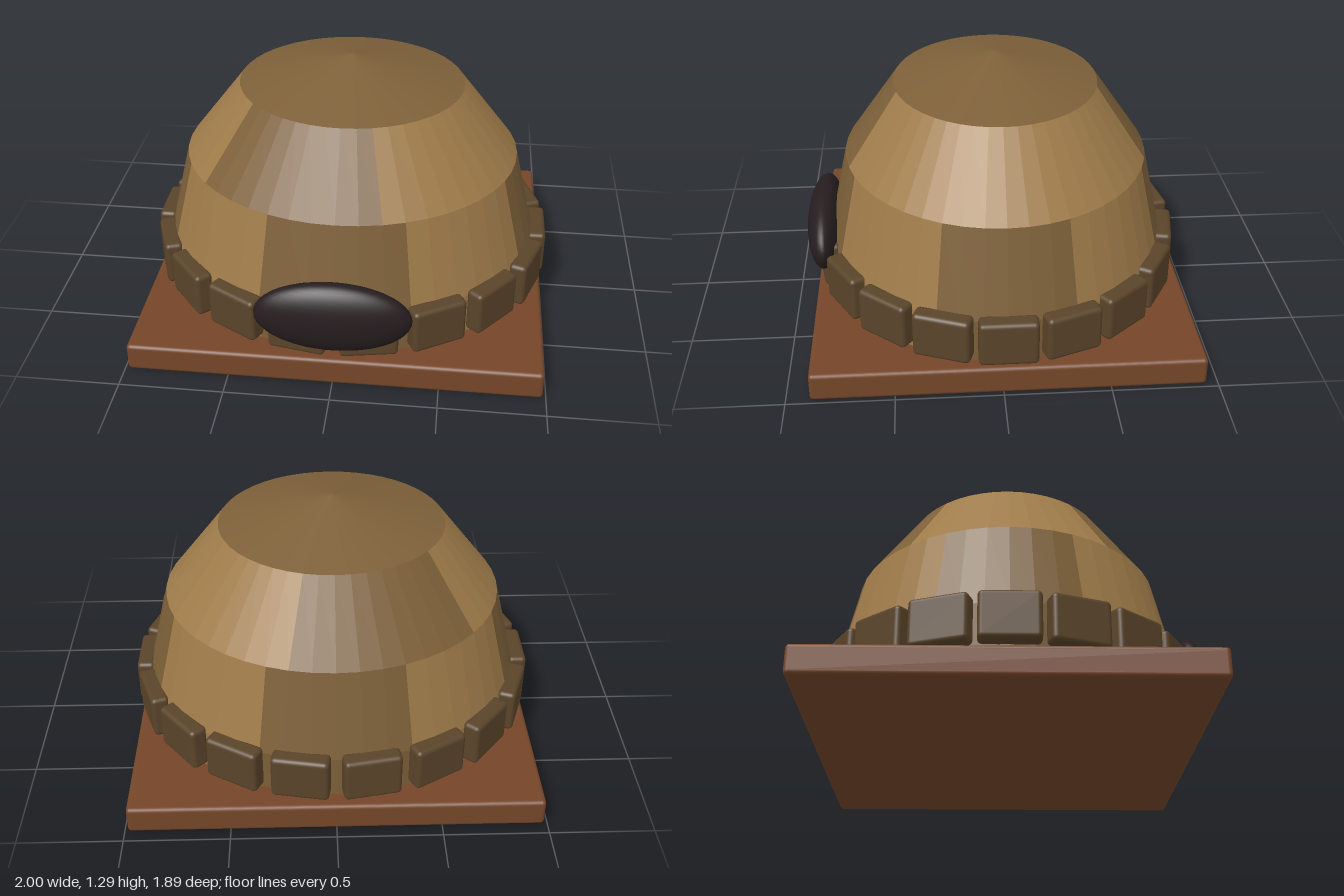
import * as THREE from 'three';
import { RoundedBoxGeometry } from 'three/addons/geometries/RoundedBoxGeometry.js';

const CENTER_Z = -0.022; // centre of the dome on the base
const DEPTH = 0.905; // the dome is slightly shorter front to back
const STEP = Math.PI / 24; // one facet of a 48-sided ring

const mat = (color, flatShading = false) => new THREE.MeshStandardMaterial({ color, flatShading });

export function createModel() {
  const model = new THREE.Group();
  const add = (parent, name, geometry, material, x = 0, y = 0, z = 0) => {
    const mesh = new THREE.Mesh(geometry, material);
    mesh.name = name;
    mesh.position.set(x, y, z);
    parent.add(mesh);
    return mesh;
  };

  const light = mat(0xa07c4a, true);
  const dark = mat(0x7d6039, true);
  const stone = mat(0x5a442a);

  // Base slab
  add(model, 'base', new RoundedBoxGeometry(1.97, 0.14, 1.835, 3, 0.02), mat(0x754629), 0, 0.07, -0.0275);

  // Dome: two tiers of panels in alternating tones, plus a shallow cone
  const dome = new THREE.Group();
  dome.name = 'dome';
  dome.position.z = CENTER_Z;
  dome.scale.z = DEPTH;
  model.add(dome);

  const tier = (name, profile, edges, firstIsLight) => {
    const points = profile.map(([r, y]) => new THREE.Vector2(r, y));
    for (let i = 0; i < edges.length - 1; i++) {
      const count = edges[i + 1] - edges[i];
      const geometry = new THREE.LatheGeometry(points, count, edges[i] * STEP, count * STEP);
      add(dome, name, geometry, (i % 2 === 0) === firstIsLight ? light : dark);
    }
  };
  // Panel edges are counted in facets from the front towards +x
  tier('lowerPanel', [[0.925, 0.13], [0.933, 0.36], [0.825, 0.79]],
    [-3, 3, 9, 15, 21, 27, 33, 39, 45], false);
  tier('upperPanel', [[0.825, 0.79], [0.55, 1.15]], [12, 22, 31, 41, 50, 60], true);
  add(dome, 'roofCap', new THREE.ConeGeometry(0.55, 0.14, 48), mat(0x7d6039), 0, 1.22, 0);

  // Ring of foundation stones
  const ring = new THREE.Group();
  ring.name = 'stoneRing';
  model.add(ring);
  const stoneGeometry = new RoundedBoxGeometry(0.09, 0.225, 0.275, 3, 0.022);
  for (let i = 0; i < 18; i++) {
    const a = (i / 18) * Math.PI * 2;
    const block = add(ring, 'stone', stoneGeometry, stone,
      Math.cos(a) * 0.953, 0.278, CENTER_Z + Math.sin(a) * 0.953 * DEPTH);
    block.rotation.y = -a;
  }

  // Dark rounded entrance
  const entrance = add(model, 'entrance', new THREE.SphereGeometry(1, 40, 24), mat(0x261d1f), 0, 0.37, 0.848);
  entrance.scale.set(0.368, 0.184, 0.093);

  return model;
}
